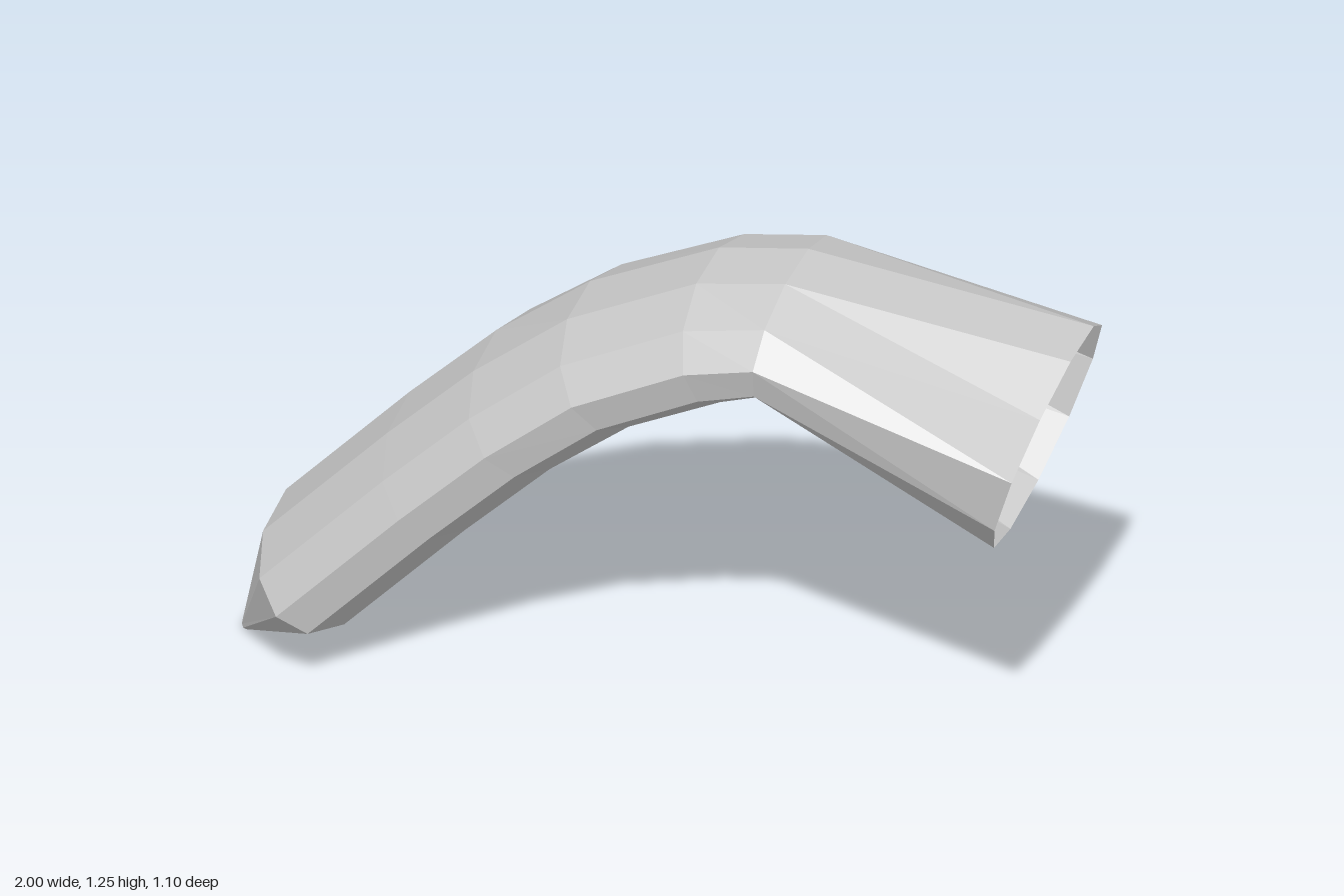
import * as THREE from 'three';

const SIDES = 11;
const HEADING = 0.315; // the bent tube lies in a vertical plane turned by this angle

// Cross-sections from tip to mouth:
// [distance along heading, height, half width, half thickness, tilt of the thickness axis in degrees, sideways slope]
const SECTIONS = [
  [-1.037, 0.012, 0.035, 0.015, 145, 0],
  [-0.855, 0.243, 0.287, 0.152, 145, 0.11],
  [-0.557, 0.565, 0.287, 0.152, 142, 0.11],
  [-0.347, 0.775, 0.287, 0.152, 141, 0.10],
  [-0.137, 0.940, 0.287, 0.152, 130, 0.05],
  [0.130, 1.072, 0.287, 0.152, 108, 0.02],
  [0.293, 1.112, 0.290, 0.147, 86, 0],
  [0.915, 0.920, 0.290, 0.290, 72, 0],
];

// One corner of a cross-section
function corner([s, y, width, thick, tilt, slope], k) {
  const a = -Math.PI / 2 + (k * 2 * Math.PI) / SIDES;
  const t = THREE.MathUtils.degToRad(tilt);
  const side = width * Math.cos(a);
  const up = thick * Math.sin(a);
  const along = s + up * Math.cos(t);
  return new THREE.Vector3(
    along * Math.cos(HEADING) - side * Math.sin(HEADING),
    y + up * Math.sin(t) - side * slope,
    along * Math.sin(HEADING) + side * Math.cos(HEADING)
  );
}

function facets(points) {
  const geometry = new THREE.BufferGeometry().setFromPoints(points);
  geometry.computeVertexNormals();
  return geometry;
}

export function createModel() {
  const group = new THREE.Group();
  group.name = 'bentTube';
  const material = new THREE.MeshStandardMaterial({
    color: 0xcccccc, flatShading: true, side: THREE.DoubleSide,
  });

  // Flattened, bent sleeve with a round open mouth
  const wall = [];
  for (let i = 0; i < SECTIONS.length - 1; i++) {
    for (let k = 0; k < SIDES; k++) {
      const a = corner(SECTIONS[i], k), b = corner(SECTIONS[i + 1], k);
      const c = corner(SECTIONS[i + 1], k + 1), d = corner(SECTIONS[i], k + 1);
      wall.push(a, b, d, b, c, d);
    }
  }
  const sleeve = new THREE.Mesh(facets(wall), material);
  sleeve.name = 'sleeve';
  group.add(sleeve);

  // Small cap closing the pointed end
  const cap = [];
  for (let k = 1; k < SIDES - 1; k++) {
    cap.push(corner(SECTIONS[0], 0), corner(SECTIONS[0], k), corner(SECTIONS[0], k + 1));
  }
  const tip = new THREE.Mesh(facets(cap), material);
  tip.name = 'tipCap';
  group.add(tip);

  return group;
}
